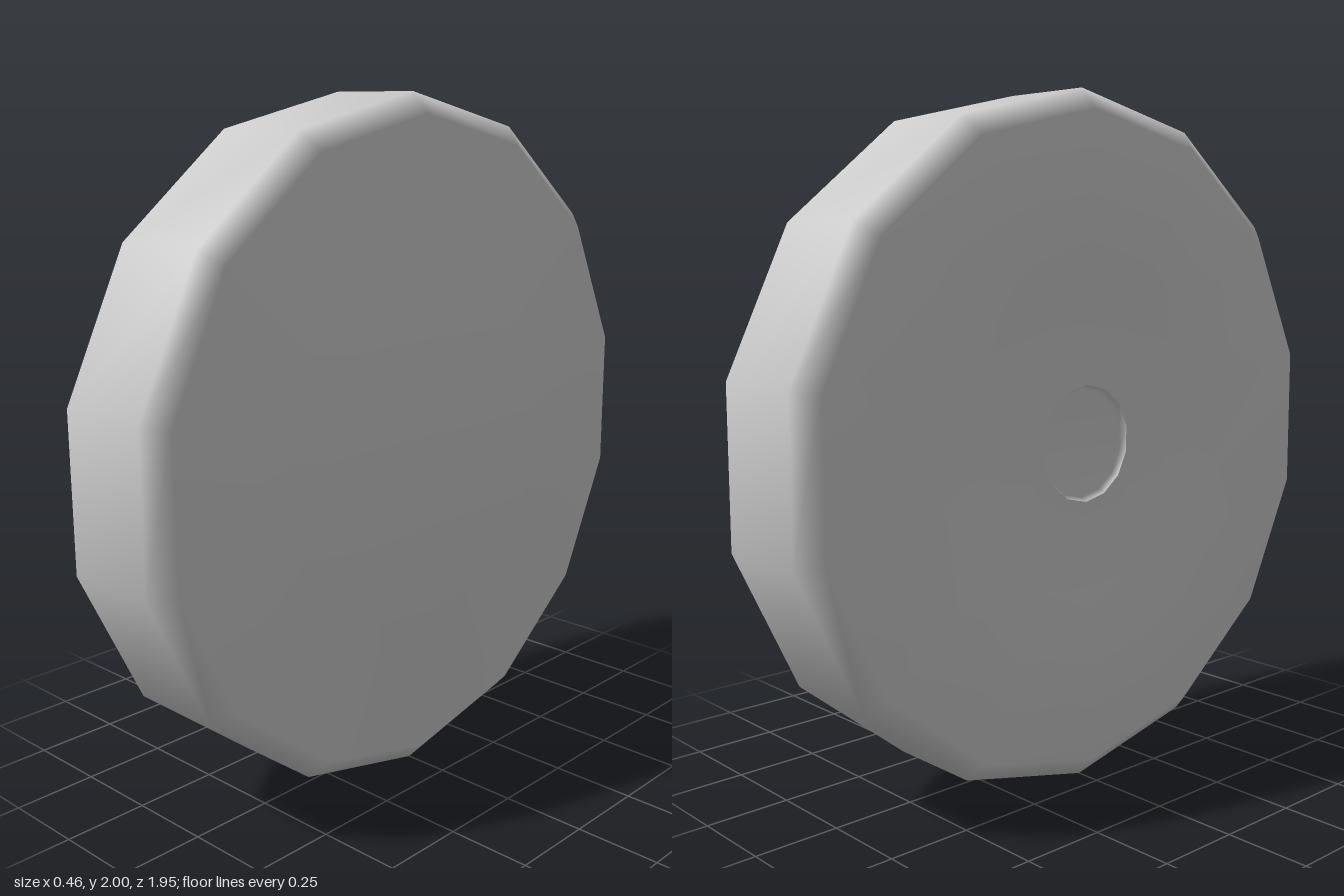
import * as THREE from 'three';

const SIDES = 14;

// Lathe around the x axis; points are [radius, x], with a corner at the top.
function turned(name, points, material) {
  const profile = points.map(([r, x]) => new THREE.Vector2(r, x));
  const geometry = new THREE.LatheGeometry(profile, SIDES, Math.PI / 2, Math.PI * 2);
  geometry.rotateZ(-Math.PI / 2);
  const mesh = new THREE.Mesh(geometry, material);
  mesh.name = name;
  mesh.position.y = 1;
  return mesh;
}

export function createModel() {
  const wheel = new THREE.Group();
  wheel.name = 'wheel';
  const material = new THREE.MeshStandardMaterial({ color: 0xcccccc });

  // Inner face with a shallow dish, bevelled tread, outer face and raised hub
  wheel.add(turned('tyreAndHub', [
    [0.17, -0.2], [0.45, -0.2], [0.55, -0.23], [0.94, -0.23],
    [1, -0.175], [1, 0.115], [0.94, 0.17],
    [0.535, 0.17], [0.47, 0.226], [0, 0.226],
  ], material));

  // Shallow axle socket in the inner face
  wheel.add(turned('axleSocket', [
    [0, -0.18], [0.16, -0.18], [0.17, -0.2],
  ], material));

  return wheel;
}
